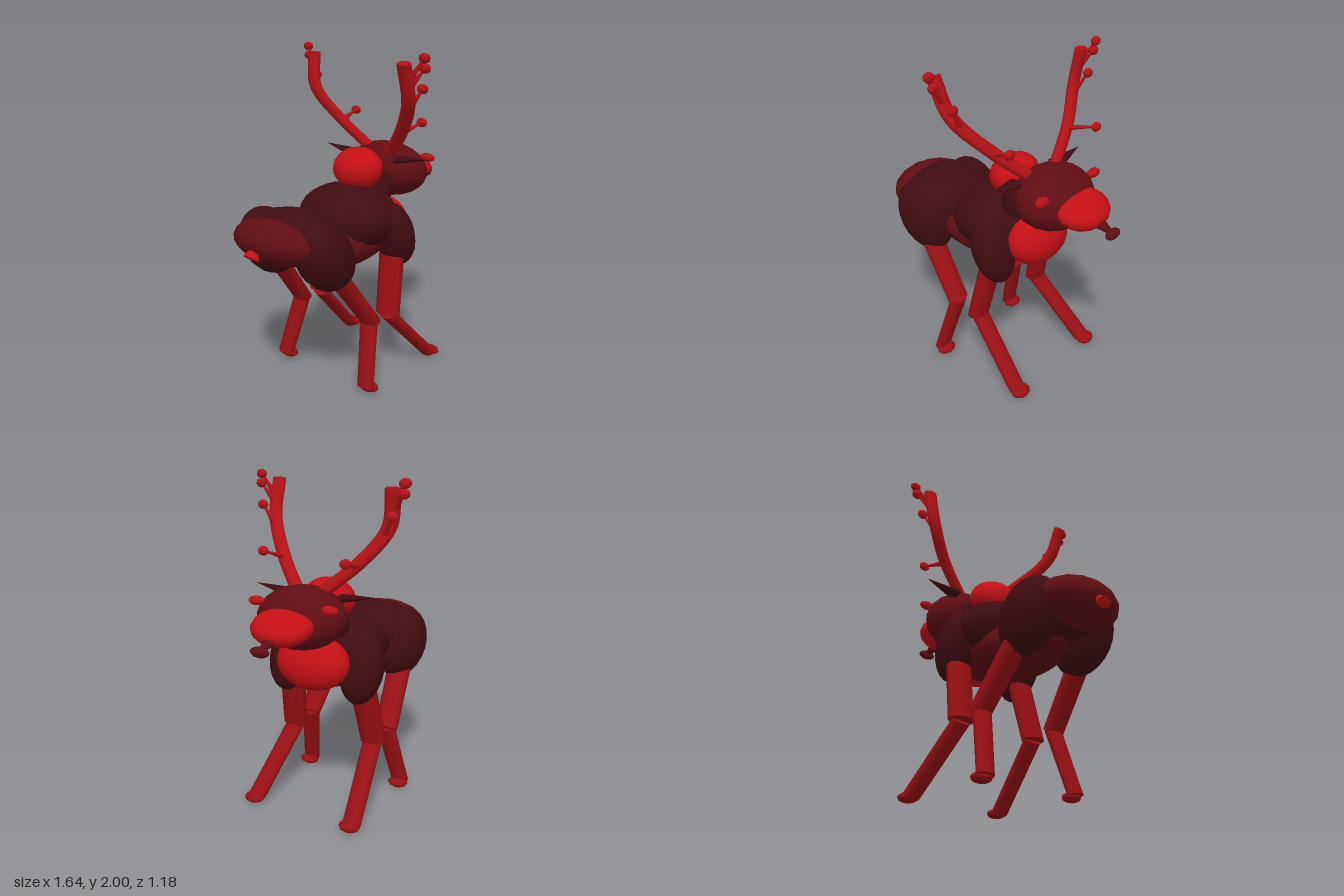
import * as THREE from 'three';

const mat = (name, color) => {
  const m = new THREE.MeshStandardMaterial({ color });
  m.name = name;
  return m;
};

// Everything is stretched sideways: round sections are WIDE times broader along z
const WIDE = 1.6;

export function createModel() {
  const model = new THREE.Group();
  model.name = 'deer';
  const dark = mat('dark coat', 0x400c10);
  const mid = mat('brown red coat', 0x600e12);
  const legRed = mat('leg red', 0x980f13);
  const antlerRed = mat('antler red', 0xb41116);
  const bright = mat('bright red', 0xc41015);

  const add = (name, geometry, material) => {
    const mesh = new THREE.Mesh(geometry, material);
    mesh.name = name;
    model.add(mesh);
    return mesh;
  };
  // Ellipsoid with centre p, radii r and a tilt about z
  const ball = (name, p, r, tilt, material, w = 16, h = 12) => {
    const mesh = add(name, new THREE.SphereGeometry(1, w, h), material);
    mesh.position.set(...p);
    mesh.scale.set(...r);
    mesh.rotation.z = tilt;
  };
  const squash = (p) => new THREE.Vector3(p[0], p[1], p[2] / WIDE);
  // Tapered rod from a to b
  const rod = (name, a, b, ra, rb, material, sides = 12) => {
    const A = squash(a), B = squash(b), d = B.clone().sub(A);
    const g = new THREE.CylinderGeometry(rb, ra, d.length(), sides);
    g.applyQuaternion(new THREE.Quaternion().setFromUnitVectors(
      new THREE.Vector3(0, 1, 0), d.clone().normalize()));
    const c = A.add(B).multiplyScalar(0.5);
    g.translate(c.x, c.y, c.z);
    g.scale(1, 1, WIDE);
    add(name, g, material);
  };

  // Body
  ball('belly', [-0.1, 0.87, 0], [0.42, 0.16, 0.25], 0, mid);
  ball('chest', [0, 1.0, 0], [0.28, 0.2, 0.33], 0.05, dark);
  ball('breast', [0.275, 0.935, 0], [0.13, 0.17, 0.24], 0.35, bright);
  ball('hips', [-0.46, 0.98, 0], [0.26, 0.16, 0.32], -0.15, dark);
  ball('rump', [-0.6, 0.985, 0], [0.2, 0.13, 0.29], -0.25, mid);
  rod('tail', [-0.72, 1.02, 0], [-0.795, 0.935, 0], 0.005, 0.035, bright, 8);

  // Neck and head
  ball('neck', [0.18, 1.15, 0], [0.12, 0.17, 0.18], -0.3, dark);
  ball('nape', [0.09, 1.28, 0], [0.14, 0.125, 0.165], 0.4, bright);
  ball('head', [0.385, 1.23, 0], [0.215, 0.172, 0.275], -0.35, mid);
  ball('muzzle', [0.58, 1.215, 0], [0.145, 0.088, 0.19], -0.35, bright);
  rod('noseStem', [0.66, 1.18, 0], [0.785, 1.13, 0], 0.035, 0.008, mid, 8);
  ball('nose', [0.785, 1.13, 0], [0.03, 0.03, 0.06], 0, mid, 10, 8);

  for (const s of [1, -1]) {
    const at = (x, y, z) => [x, y, z * s];
    const side = s > 0 ? 'Near' : 'Far';

    ball('shoulder' + side, at(0.135, 0.9, 0.25), [0.12, 0.22, 0.135], 0.35, dark);
    ball('haunch' + side, at(-0.45, 0.905, 0.22), [0.17, 0.235, 0.16], 0.6, dark);
    ball('eye' + side, at(0.48, 1.315, 0.24), [0.03, 0.027, 0.055], -0.35, antlerRed, 10, 8);

    // Ear, flattened cone pointing sideways
    const ear = add('ear' + side, new THREE.ConeGeometry(1, 0.23, 10), dark);
    ear.geometry.scale(0.055, 1, 0.025);
    ear.position.set(0.255, 1.345, 0.295 * s);
    ear.rotation.set(s * (Math.PI / 2 - 0.13), 0, 0);

    // Legs: thigh, shank, hoof
    rod('foreThigh' + side, at(0.14, 0.87, 0.24), at(0.045, 0.41, 0.285), 0.055, 0.052, legRed);
    rod('foreShank' + side, at(0.045, 0.41, 0.28), at(0.405, 0.035, 0.34), 0.038, 0.036, legRed);
    ball('foreHoof' + side, at(0.435, 0.033, 0.34), [0.05, 0.029, 0.066], -0.1, legRed, 10, 8);
    rod('hindThigh' + side, at(-0.43, 0.84, 0.24), at(-0.125, 0.425, 0.285), 0.05, 0.046, legRed);
    rod('hindShank' + side, at(-0.13, 0.43, 0.28), at(-0.232, 0.04, 0.34), 0.039, 0.036, legRed);
    ball('hindHoof' + side, at(-0.2, 0.033, 0.34), [0.048, 0.029, 0.066], -0.1, legRed, 10, 8);

    // Antler beam; the near one sweeps further back
    const beam = s > 0
      ? [[0.3, 1.33, 0.07], [0.16, 1.52, 0.27], [0.01, 1.73, 0.43], [-0.08, 1.945, 0.46]]
      : [[0.32, 1.35, 0.07], [0.25, 1.54, 0.29], [0.18, 1.73, 0.43], [0.2, 1.945, 0.46]];
    const curve = new THREE.CatmullRomCurve3(beam.map((p) => squash(at(...p))));
    const tube = new THREE.TubeGeometry(curve, 24, 0.029, 10);
    tube.scale(1, 1, WIDE);
    add('antler' + side, tube, antlerRed);
    const end = curve.getPointAt(1), before = curve.getPointAt(0.96);
    const dir = end.clone().sub(before).normalize().multiplyScalar(0.003);
    const tip = end.clone().add(dir);
    rod('antlerEnd' + side, [before.x, before.y, before.z * WIDE], [tip.x, tip.y, tip.z * WIDE],
      0.028, 0.028, antlerRed, 10);

    // Tines: position along the beam, then the bud at the tip
    const tines = s > 0
      ? [[0.33, 0.31, 1.565, 0.31], [0.6, 0.07, 1.8, 0.48], [0.8, 0, 1.92, 0.54], [0.85, -0.02, 1.975, 0.55]]
      : [[0.33, 0.435, 1.565, 0.31], [0.6, 0.245, 1.8, 0.48], [0.8, 0.235, 1.92, 0.54], [0.85, 0.24, 1.975, 0.55]];
    tines.forEach(([t, x, y, z], i) => {
      const p = curve.getPointAt(t);
      rod('tine' + side + i, [p.x, p.y, p.z * WIDE], at(x, y, z), 0.018, 0.004, antlerRed, 8);
      ball('bud' + side + i, at(x, y, z), [0.023, 0.028, 0.038], 0.2, antlerRed, 8, 6);
    });
  }
  return model;
}
